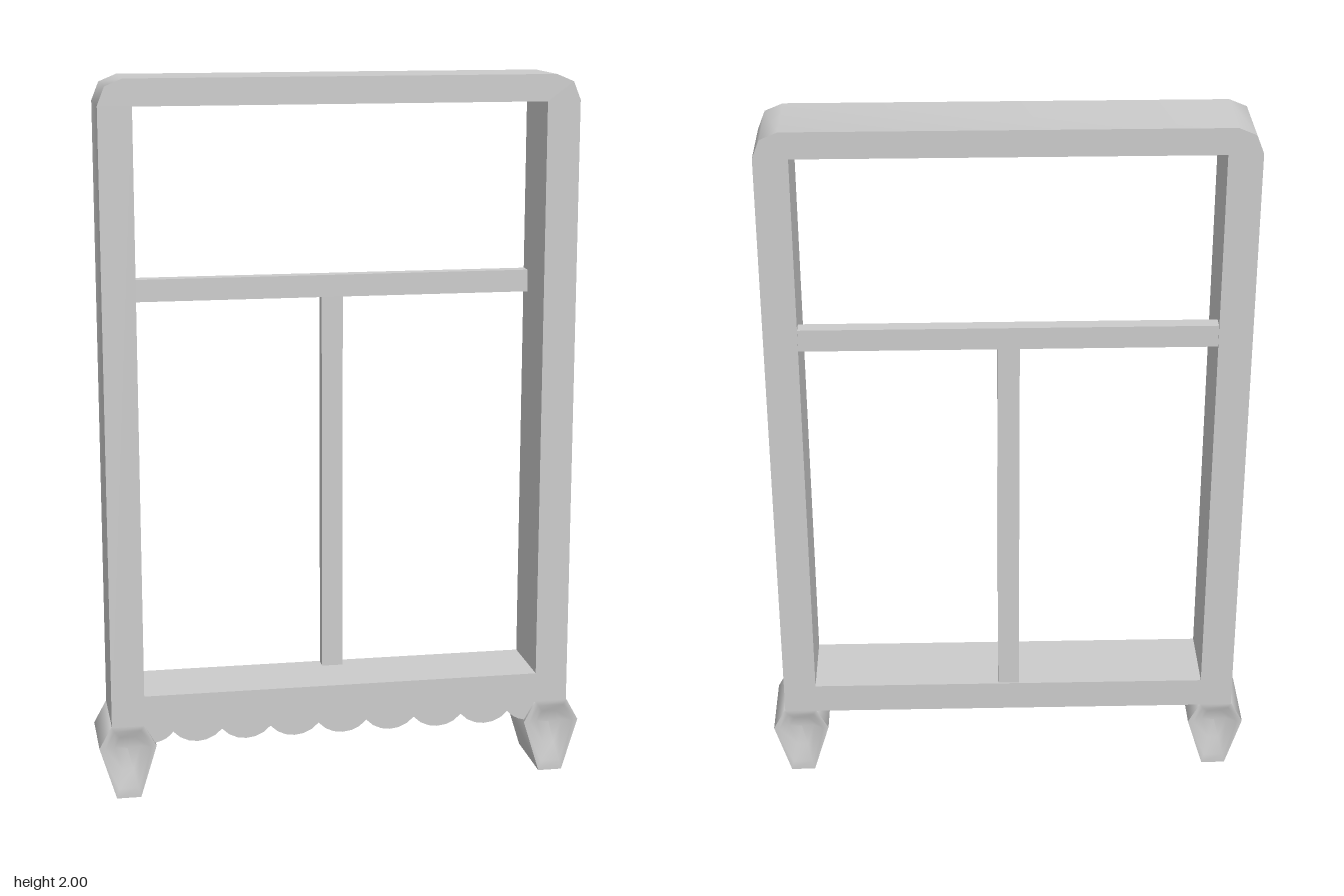
import * as THREE from 'three';
import { toCreasedNormals } from 'three/addons/utils/BufferGeometryUtils.js';

const HALF = 0.109; // half depth of the frame
const material = new THREE.MeshStandardMaterial({ color: 0xcccccc });

function part(name, geometry, crease = 0.9) {
  const mesh = new THREE.Mesh(toCreasedNormals(geometry, crease), material);
  mesh.name = name;
  return mesh;
}

function bar(name, w, h, d, x, y, z) {
  const mesh = part(name, new THREE.BoxGeometry(w, h, d));
  mesh.position.set(x, y, z);
  return mesh;
}

function extrude(shape, z0, z1, curveSegments = 6) {
  const g = new THREE.ExtrudeGeometry(shape, { depth: z1 - z0, bevelEnabled: false, curveSegments });
  return g.translate(0, 0, z0);
}

// Outer frame with clipped upper corners and one large opening
function frameGeometry() {
  const right = [[0.655, 0.21], [0.655, 1.93], [0.635, 1.98], [0.587, 2]];
  const left = right.map(([x, y]) => [-x, y]).reverse();
  const shape = new THREE.Shape([...right, ...left].map(([x, y]) => new THREE.Vector2(x, y)));
  const hole = [[-0.563, 0.297], [-0.563, 1.927], [0.563, 1.927], [0.563, 0.297]];
  shape.holes.push(new THREE.Path(hole.map(([x, y]) => new THREE.Vector2(x, y))));
  return extrude(shape, -HALF, HALF);
}

// Scalloped trim hanging under the bottom rail
function apronGeometry() {
  const pitch = 0.138, count = 7, cusp = 0.185, end = 0.563;
  const start = -pitch * count / 2;
  const shape = new THREE.Shape();
  shape.moveTo(end, 0.212);
  shape.lineTo(-end, 0.212);
  shape.lineTo(-end, 0.155);
  shape.quadraticCurveTo(-0.51, 0.15, start, cusp);
  for (let i = 0; i < count; i++) {
    const x = start + i * pitch;
    shape.bezierCurveTo(x + 0.035, 0.142, x + pitch - 0.035, 0.142, x + pitch, cusp);
  }
  shape.quadraticCurveTo(0.51, 0.15, end, 0.155);
  return extrude(shape, 0.075, 0.1);
}

// Six-sided foot lofted through rings, with a shallow dimple front and back
function footGeometry() {
  const outline = [[0.046, 0.212], [-0.046, 0.212], [-0.08, 0.15], [-0.034, 0], [0.034, 0], [0.08, 0.15]];
  const cy = 0.14, n = outline.length;
  const rings = [
    [0.001, -0.085], [0.45, -0.088], [0.8, -HALF], [1, -HALF],
    [1, HALF], [0.8, HALF], [0.45, 0.088], [0.001, 0.085],
  ];
  const positions = [], index = [];
  for (const [s, z] of rings)
    for (const [x, y] of outline) positions.push(x * s, cy + (y - cy) * s, z);
  for (let r = 0; r < rings.length - 1; r++)
    for (let i = 0; i < n; i++) {
      const a = r * n + i, b = r * n + (i + 1) % n;
      index.push(a, b, b + n, a, b + n, a + n);
    }
  const g = new THREE.BufferGeometry();
  g.setAttribute('position', new THREE.Float32BufferAttribute(positions, 3));
  g.setIndex(index);
  g.computeVertexNormals();
  return g;
}

export function createModel() {
  const model = new THREE.Group();
  model.name = 'windowFrame';
  model.add(part('outerFrame', frameGeometry(), 1.0));

  // Thin glazing bars set towards the back
  model.add(bar('transom', 1.128, 0.062, 0.04, 0, 1.411, -0.085));
  model.add(bar('mullion', 0.06, 1.085, 0.04, 0, 0.838, -0.085));

  model.add(part('scallopedApron', apronGeometry(), 0.6));

  for (const side of [1, -1]) {
    const foot = part(side > 0 ? 'leftFoot' : 'rightFoot', footGeometry(), 1.1);
    foot.position.x = side * 0.611;
    model.add(foot);
  }
  return model;
}
